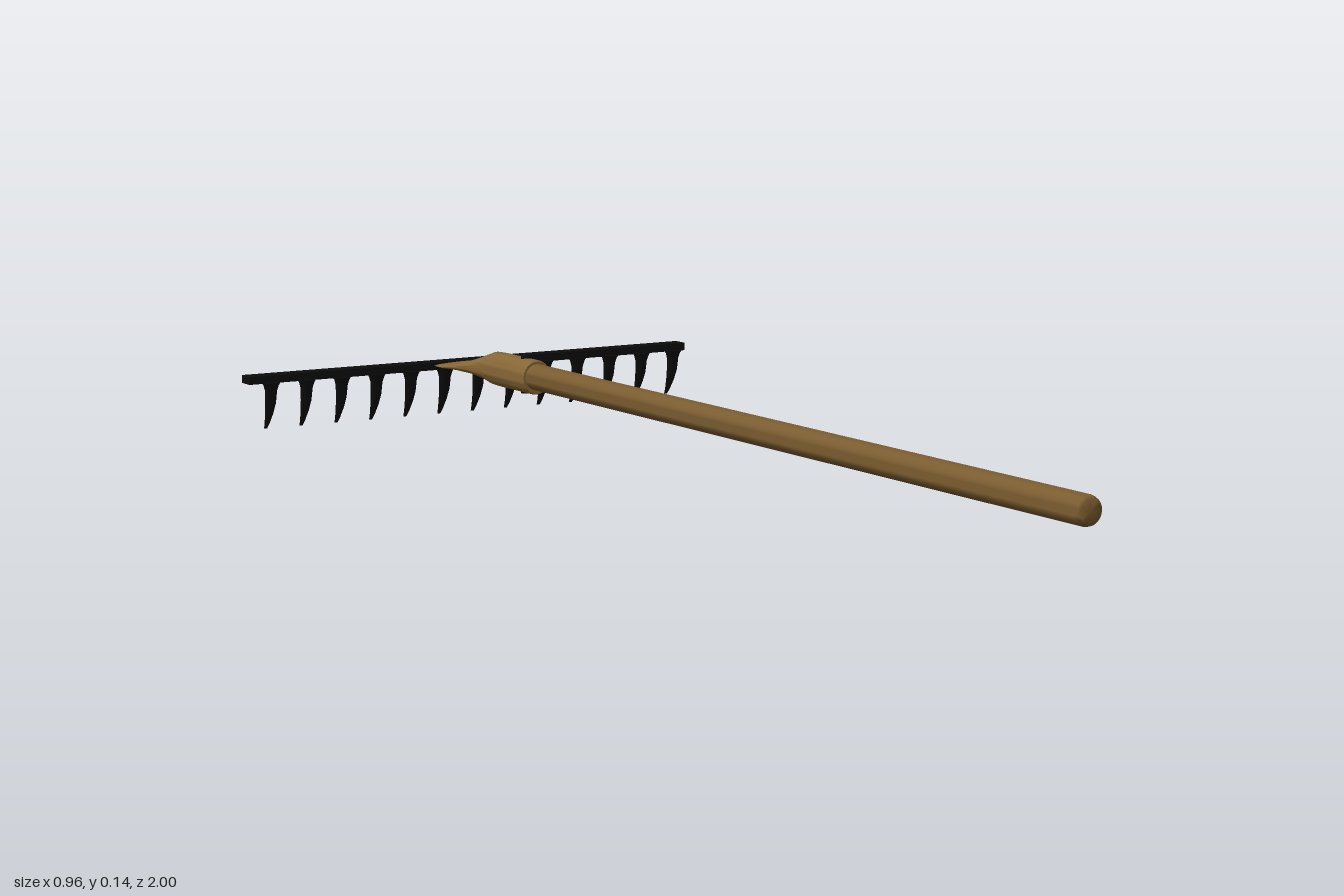
import * as THREE from 'three';
import { toCreasedNormals } from 'three/addons/utils/BufferGeometryUtils.js';

// Skin elliptical sections [z, halfWidth, halfHeight, yOffset], ordered along +z
function loft(sections, sides, crease = 0.7) {
  const pos = [], index = [];
  const first = sections[0], last = sections[sections.length - 1];
  const rings = [[first[0], 0, 0, first[3]], ...sections, [last[0], 0, 0, last[3]]];
  for (const [z, w, h, y = 0] of rings) {
    for (let j = 0; j < sides; j++) {
      const a = (j / sides) * Math.PI * 2;
      pos.push(w * Math.cos(a), y + h * Math.sin(a), z);
    }
  }
  for (let i = 0; i < rings.length - 1; i++) {
    for (let j = 0; j < sides; j++) {
      const a = i * sides + j, b = i * sides + (j + 1) % sides;
      if (i > 0) index.push(a, b, b + sides);
      else index.push(a, b + sides, a + sides);
      if (i > 0 && i < rings.length - 2) index.push(a, b + sides, a + sides);
    }
  }
  const g = new THREE.BufferGeometry();
  g.setAttribute('position', new THREE.Float32BufferAttribute(pos, 3));
  g.setIndex(index);
  return toCreasedNormals(g, crease);
}

export function createModel() {
  const group = new THREE.Group();
  const wood = new THREE.MeshStandardMaterial({ color: 0x7a5c30 });
  const socketMat = new THREE.MeshStandardMaterial({ color: 0x866736 });
  const iron = new THREE.MeshStandardMaterial({ color: 0x0c0c0c });
  const add = (name, geometry, material, x = 0, y = 0, z = 0) => {
    const mesh = new THREE.Mesh(geometry, material);
    mesh.name = name;
    mesh.position.set(x, y, z);
    group.add(mesh);
    return mesh;
  };
  const axisY = 0.1;

  // Long round handle with a softened butt end
  add('handle', loft([
    [-0.76, 0.025, 0.025], [0.99, 0.025, 0.025], [0.997, 0.023, 0.023], [1, 0.019, 0.019],
  ], 24), wood, 0, axisY);

  // Socket: round sleeve flattening into a wide tongue
  add('socket', loft([
    [-0.972, 0.088, 0.005], [-0.94, 0.088, 0.006], [-0.925, 0.071, 0.011],
    [-0.908, 0.051, 0.018], [-0.89, 0.034, 0.026], [-0.87, 0.031, 0.032],
    [-0.84, 0.031, 0.033], [-0.716, 0.031, 0.033], [-0.712, 0.029, 0.031],
  ], 32), socketMat, 0, axisY - 0.001);

  // Rivet through the sleeve
  add('rivet', new THREE.CylinderGeometry(0.009, 0.009, 0.071, 16), iron, 0, axisY, -0.757);

  // Head bar
  add('headBar', new THREE.BoxGeometry(0.956, 0.015, 0.034), iron, 0, 0.098, -0.981);

  // Thirteen curved tines, flared at the root and tapering to the tip
  const tine = loft([
    [0, 0.019, 0.014, 0.013], [0.006, 0.015, 0.012, 0.013], [0.016, 0.012, 0.01, 0.012],
    [0.04, 0.0105, 0.009, 0.009], [0.06, 0.008, 0.0075, 0.002],
    [0.08, 0.005, 0.005, -0.008], [0.092, 0.003, 0.003, -0.016],
  ], 12);
  tine.rotateX(Math.PI / 2);
  for (let i = 0; i < 13; i++) {
    add('tine', tine, iron, -0.432 + i * 0.0737, 0.092, -0.981);
  }
  return group;
}
